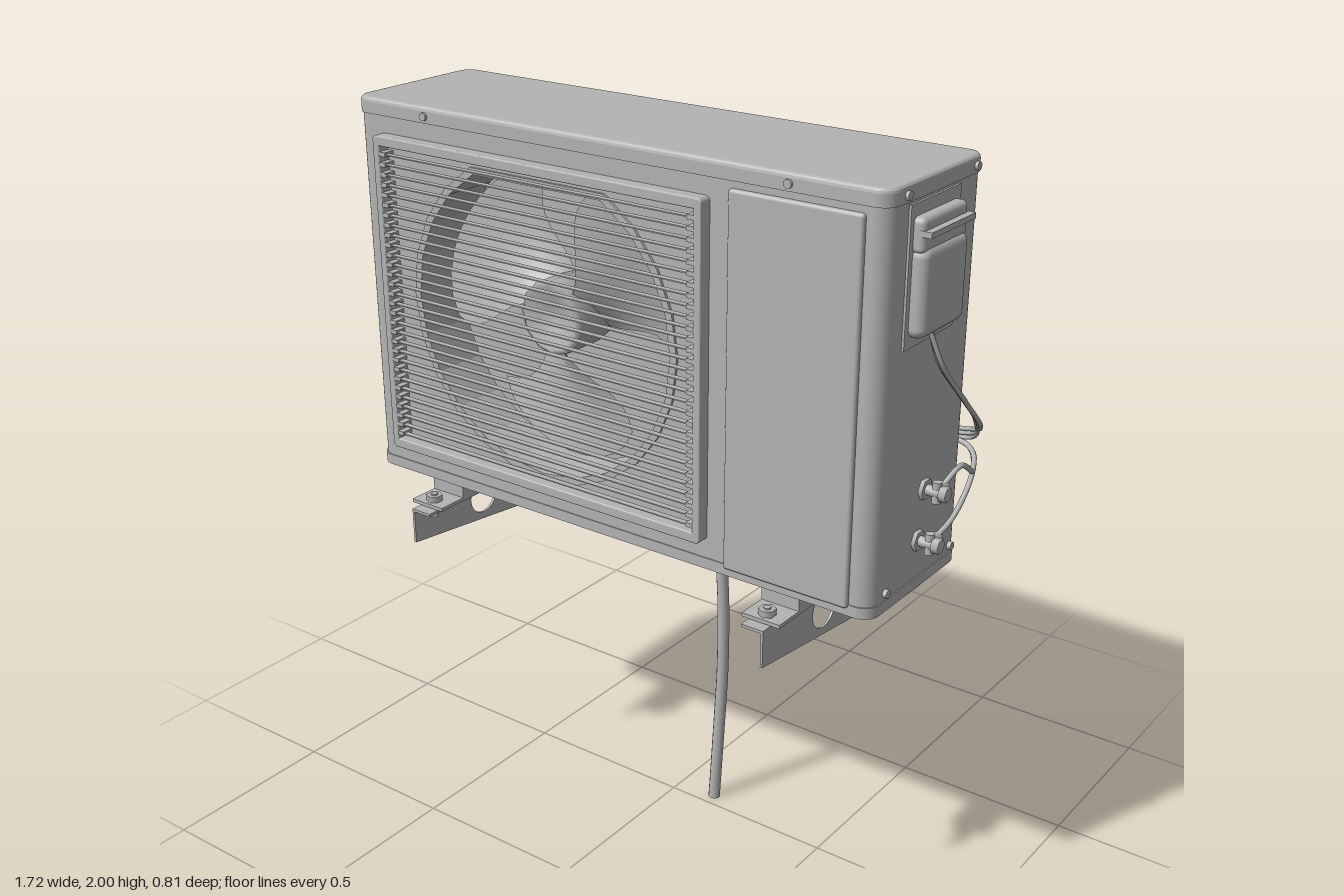
import * as THREE from 'three';
import { RoundedBoxGeometry } from 'three/addons/geometries/RoundedBoxGeometry.js';

const V = (x, y, z) => new THREE.Vector3(x, y, z);

export function createModel() {
  const root = new THREE.Group();
  root.name = 'outdoorCondenser';
  const grey = new THREE.MeshStandardMaterial({ color: 0xb4b4b4, side: THREE.DoubleSide });
  grey.name = 'metalGrey';

  // ---- helpers ----
  const add = (name, geo, x = 0, y = 0, z = 0, parent = root) => {
    const m = new THREE.Mesh(geo, grey);
    m.name = name;
    m.position.set(x, y, z);
    parent.add(m);
    return m;
  };
  // box given by its min and max corners
  const box = (name, x0, x1, y0, y1, z0, z1, parent = root) =>
    add(name, new THREE.BoxGeometry(x1 - x0, y1 - y0, z1 - z0), (x0 + x1) / 2, (y0 + y1) / 2, (z0 + z1) / 2, parent);
  const rounded = (name, x0, x1, y0, y1, z0, z1, r) =>
    add(name, new RoundedBoxGeometry(x1 - x0, y1 - y0, z1 - z0, 3, r), (x0 + x1) / 2, (y0 + y1) / 2, (z0 + z1) / 2);
  const poly = (pts, Type = THREE.Shape) => new Type(pts.map(([x, y]) => new THREE.Vector2(x, y)));
  const rect = (x0, x1, y0, y1, Type) => poly([[x0, y0], [x1, y0], [x1, y1], [x0, y1]], Type);
  const roundRect = (x0, x1, y0, y1, r) => {
    const s = new THREE.Shape();
    s.absarc(x1 - r, y1 - r, r, 0, Math.PI / 2);
    s.absarc(x0 + r, y1 - r, r, Math.PI / 2, Math.PI);
    s.absarc(x0 + r, y0 + r, r, Math.PI, Math.PI * 1.5);
    s.absarc(x1 - r, y0 + r, r, Math.PI * 1.5, Math.PI * 2);
    return s;
  };
  const extrude = (shape, depth, bevel = 0) => new THREE.ExtrudeGeometry(shape, {
    depth, curveSegments: 10, bevelEnabled: bevel > 0, bevelSize: bevel, bevelThickness: bevel, bevelOffset: -bevel, bevelSegments: 3 });
  const tube = (name, pts, r, seg = 36) =>
    add(name, new THREE.TubeGeometry(new THREE.CatmullRomCurve3(pts.map(p => V(...p))), seg, r, 10));
  // cylinder along an axis
  const rod = (name, axis, r, h, x, y, z, sides = 12, parent = root) => {
    const g = new THREE.CylinderGeometry(r, r, h, sides);
    if (axis === 'x') g.rotateZ(Math.PI / 2);
    if (axis === 'z') g.rotateX(Math.PI / 2);
    return add(name, g, x, y, z, parent);
  };

  // ---- cabinet ----
  const X0 = -0.828, X1 = 0.788, Z0 = -0.148, Z1 = 0.288, R = 0.045, B = 0.95, T = 1.965;
  const plan = roundRect(X0 - 0.003, X1 + 0.003, -Z1 - 0.003, -Z0 + 0.003, R);
  add('lid', extrude(plan, 0.016, 0.012).rotateX(-Math.PI / 2), 0, 1.972, 0);
  add('lidSkirt', extrude(plan, 0.015).rotateX(-Math.PI / 2), 0, 1.957, 0);
  add('basePan', extrude(plan, 0.03).rotateX(-Math.PI / 2), 0, B, 0);
  [[X1 - R, Z1 - R, 0], [X1 - R, Z0 + R, 1], [X0 + R, Z0 + R, 2], [X0 + R, Z1 - R, 3]].forEach(([x, z, q]) =>
    add('cabinetCorner', new THREE.CylinderGeometry(R, R, T - B, 8, 1, true, q * Math.PI / 2, Math.PI / 2), x, (B + T) / 2, z));
  box('rightWall', X1 - 0.018, X1, B, T, Z0 + R, Z1 - R);

  // front wall with the round fan opening, cut flat at the top
  const FX = -0.21, FY = 1.49, FR = 0.415;
  const flat = Math.asin(0.36 / FR);
  const opening = (r, Type) => {
    const s = new Type();
    s.absarc(FX, FY, r, Math.PI - flat, 2 * Math.PI + flat);
    s.closePath();
    return s;
  };
  const front = rect(X0 + R, X1 - R, B, T);
  front.holes.push(opening(FR + 0.015, THREE.Path));
  add('frontWall', extrude(front, 0.018), 0, 0, Z1 - 0.018);
  const shroud = opening(FR + 0.02, THREE.Shape);
  shroud.holes.push(opening(FR, THREE.Path));
  add('fanShroud', extrude(shroud, 0.16), 0, 0, 0.135);
  box('fanBackWall', -0.75, 0.34, 1.0, 1.95, 0.03, 0.04);
  rounded('frontServicePanel', 0.37, 0.73, 0.97, 1.94, 0.28, 0.300, 0.009);

  // rear wall with a shallow recessed coil panel
  const back = rect(X0 + R, X1 - R, B, T);
  back.holes.push(rect(-0.73, 0.46, 0.975, 1.935, THREE.Path));
  add('rearWall', extrude(back, 0.018), 0, 0, Z0);
  box('rearCoilPanel', -0.74, 0.47, 0.97, 1.94, Z0 + 0.012, Z0 + 0.022);
  box('rearServicePanel', 0.5, 0.72, 0.99, 1.93, Z0 - 0.007, Z0 + 0.005);

  // left wall with two columns of air openings
  const left = rect(-(Z1 - R), -(Z0 + R), B, T);
  for (let row = 0; row < 7; row++) for (const z of [-0.09, 0.075]) {
    const y = 1.025 + row * 0.13;
    left.holes.push(rect(-z - 0.14, -z, y, y + 0.105, THREE.Path));
  }
  add('leftVentWall', extrude(left, 0.018).rotateY(Math.PI / 2), X0, 0, 0);
  box('leftCoilPanel', X0 + 0.03, X0 + 0.04, 1.0, 1.95, -0.11, 0.25);
  rounded('leftSensorClip', -0.862, -0.825, 1.83, 1.885, -0.08, 0.03, 0.012);

  // cabinet screws
  for (const x of [-0.58, 0.53]) for (const z of [Z0 - 0.003, Z1 + 0.003]) rod('lidScrew', 'z', 0.011, 0.014, x, 1.975, z);
  for (const x of [X0 - 0.004, X1 + 0.004]) for (const y of [1.0, 1.975]) for (const z of [-0.1, 0.22])
    rod('sideScrew', 'x', 0.011, 0.014, x, y, z);

  // ---- grille ----
  const frame = roundRect(-0.74, 0.315, 1.03, 1.912, 0.012);
  frame.holes.push(rect(-0.718, 0.293, 1.058, 1.885, THREE.Path));
  add('grilleFrame', extrude(frame, 0.032, 0.004), 0, 0, 0.288);
  for (let i = 0; i < 30; i++) {
    const y = 1.075 + i * 0.0272;
    box('grilleSlat', -0.725, 0.30, y - 0.0015, y + 0.0015, 0.305, 0.322);
    for (const x of [-0.712, 0.287]) box('grilleTab', x - 0.013, x + 0.013, y - 0.006, y + 0.006, 0.29, 0.323);
  }

  // ---- fan ----
  const fan = new THREE.Group();
  fan.name = 'fan';
  fan.position.set(FX, FY + 0.005, 0.17);
  root.add(fan);
  const hubPts = [[0.0, 0.055], [0.04, 0.06], [0.085, 0.085], [0.1, 0.075], [0.1, -0.06], [0, -0.06]].map(p => new THREE.Vector2(...p));
  add('fanHub', new THREE.LatheGeometry(hubPts.reverse(), 12).rotateX(Math.PI / 2), 0, 0, 0, fan);
  for (let k = 0; k < 3; k++) {
    const g = new THREE.PlaneGeometry(1, 1, 8, 10), p = g.attributes.position;
    for (let i = 0; i < p.count; i++) {
      const u = p.getX(i) + 0.5, v = p.getY(i) + 0.5;
      const r = 0.09 + u * 0.305 * (1 - 0.12 * Math.pow(Math.abs(2 * v - 1), 4));
      const a = THREE.MathUtils.degToRad(25 + k * 120 + (v - 0.5) * (70 + 18 * u) + 22 * Math.sin(u * 2.4) - 12);
      p.setXYZ(i, r * Math.cos(a), r * Math.sin(a), (v - 0.5) * 0.11 * (1 - 0.3 * u) + 0.01);
    }
    g.computeVertexNormals();
    add('fanBlade', g, 0, 0, 0, fan);
  }

  // ---- right side: terminal cover, valves, cables and pipes ----
  box('coverPlate', X1, X1 + 0.006, 1.61, 1.95, -0.025, 0.205);
  rounded('terminalCover', 0.775, 0.832, 1.635, 1.85, -0.015, 0.19, 0.025);
  rounded('terminalCoverCap', 0.775, 0.822, 1.835, 1.92, -0.015, 0.19, 0.015);
  box('terminalCoverLip', 0.78, 0.84, 1.878, 1.892, -0.015, 0.19);
  for (const [y, z] of [[1.215, 0.055], [1.085, 0.075]]) {
    rod('valveFlange', 'x', 0.028, 0.012, 0.793, y, z, 6);
    rod('valveBody', 'x', 0.014, 0.06, 0.82, y, z);
    rod('valveCap', 'x', 0.02, 0.02, 0.846, y, z, 6);
    rod('valvePort', 'y', 0.012, 0.055, 0.825, y, z);
    rod('valveNut', 'z', 0.017, 0.025, 0.822, y, z - 0.03, 6);
    tube('refrigerantPipe', [[0.822, y, z - 0.02], [0.832, y + 0.035, z - 0.1], [0.815, 1.195, -0.15],
      [0.75, 1.215, -0.245], [0.56, 1.215, -0.27]], 0.007);
  }
  for (let i = 0; i < 3; i++) {
    const d = (i - 1) * 0.014;
    tube('powerCable', [[0.805 + d * 0.5, 1.65, 0.11 + d], [0.822 + d, 1.55, 0.075 + d], [0.835 + d, 1.43, -0.03 + d],
      [0.815 + d, 1.32, -0.16 + d], [0.75, 1.245 + d, -0.255 + d * 0.5], [0.56, 1.22 + d * 0.5, -0.272]], 0.006);
  }

  // insulated line set running into the wall
  tube('lineSetTrunk', [[0.58, 1.22, -0.268], [0.4, 1.165, -0.245], [0.2, 1.09, -0.218], [0.11, 1.02, -0.25],
    [0.055, 0.97, -0.31], [0.035, 0.962, -0.395]], 0.026);
  rod('wallCollar', 'z', 0.066, 0.028, 0.035, 0.962, -0.39, 10);

  // ---- drain ----
  rod('drainSocket', 'y', 0.035, 0.035, 0.02, 0.938, -0.04);
  rod('drainFlange', 'y', 0.06, 0.008, 0.0, 0.945, -0.04, 16);
  tube('drainElbow', [[-0.055, 0.935, -0.04], [-0.03, 0.912, -0.04], [0.04, 0.905, -0.04], [0.09, 0.89, -0.04]], 0.021, 16);
  tube('drainHose', [[0.03, 0.905, -0.04], [0.09, 0.89, -0.04], [0.12, 0.84, -0.043], [0.132, 0.7, -0.05],
    [0.132, 0.45, -0.055], [0.127, 0.25, -0.048], [0.12, 0.005, -0.037]], 0.017, 48);

  // ---- wall brackets, mirrored so the webs face outward ----
  for (const [cx, s] of [[-0.575, -1], [0.535, 1]]) {
    const b = new THREE.Group();
    b.name = s < 0 ? 'rightBracket' : 'leftBracket';
    b.position.x = cx;
    b.scale.x = s;
    root.add(b);
    box('wallPlate', -0.036, 0.036, 0.70, 1.46, -0.382, -0.374, b);
    box('uprightWeb', 0.028, 0.036, 0.70, 1.46, -0.382, -0.31, b);
    const web = poly([[-0.402, 0.80], [0.34, 0.715], [0.34, 0.902], [-0.402, 0.902]]);
    for (const [z, y] of [[0.12, 0.842], [-0.06, 0.828], [-0.243, 0.817]]) {
      const hole = new THREE.Path();
      hole.absarc(-z, y, 0.054, 0, Math.PI * 2);
      web.holes.push(hole);
    }
    add('armWeb', extrude(web, 0.007).rotateY(Math.PI / 2), 0.021, 0, 0, b);
    box('armTopFlange', -0.036, 0.028, 0.894, 0.902, -0.31, 0.402, b);
    for (const y of [0.85, 0.74]) {
      rod('bracketBolt', 'x', 0.024, 0.018, 0.044, y, -0.335, 6, b);
      rod('bracketBoltEnd', 'x', 0.01, 0.08, 0.02, y, -0.335, 8, b);
    }
    // cabinet foot bolted onto the arm
    box('footRail', -0.055, 0.055, 0.904, 0.914, -0.222, 0.372, b);
    box('footRiser', -0.055, 0.055, 0.914, 0.95, -0.15, 0.285, b);
    for (const z of [-0.195, 0.342]) {
      rod('footBolt', 'y', 0.023, 0.018, 0, 0.922, z, 6, b);
      rod('footBoltShank', 'y', 0.01, 0.07, 0, 0.9, z, 8, b);
    }
  }
  return root;
}
